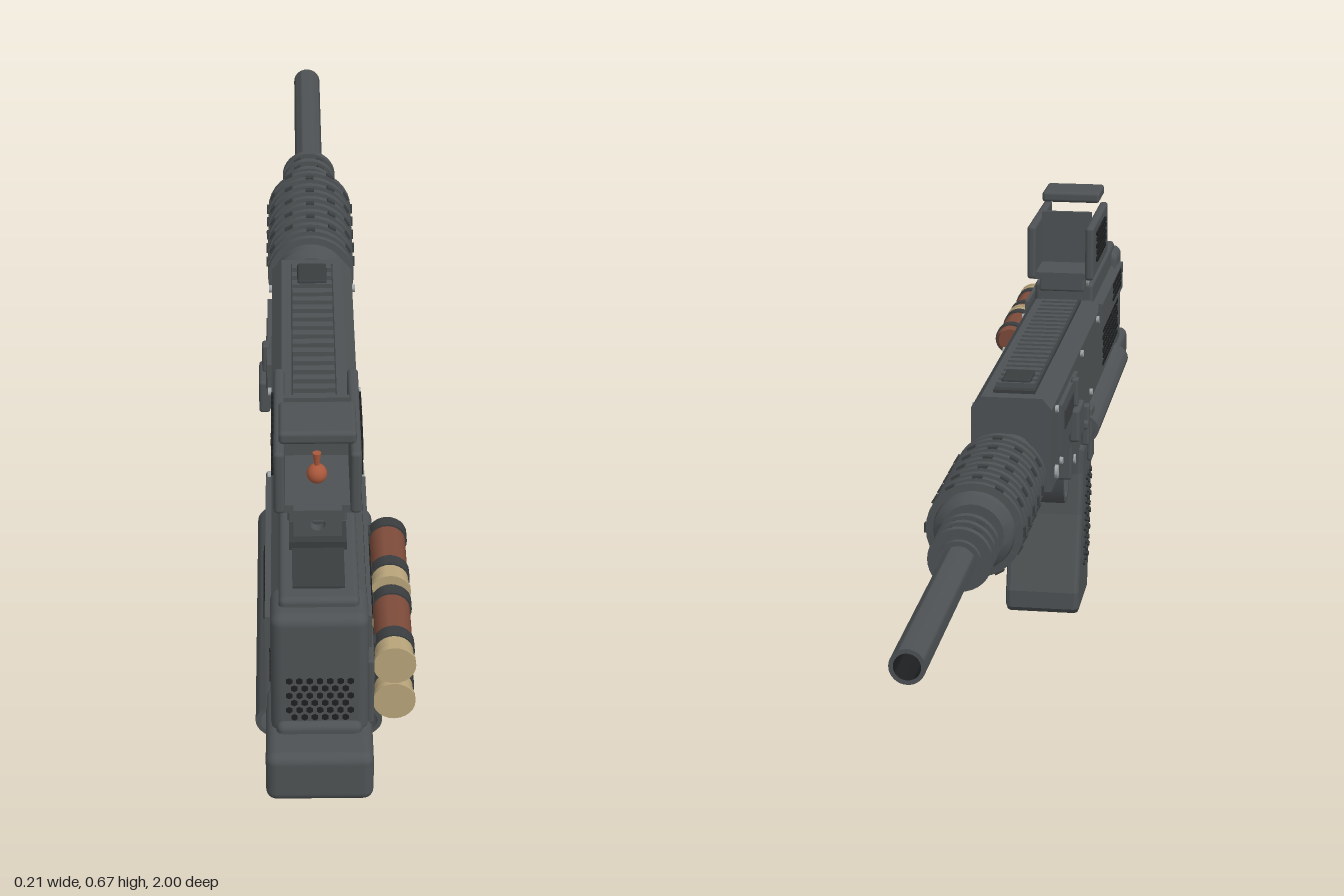
import * as THREE from 'three';
import { mergeGeometries, toCreasedNormals } from 'three/addons/utils/BufferGeometryUtils.js';
import { RoundedBoxGeometry } from 'three/addons/geometries/RoundedBoxGeometry.js';

const CX = -0.022; // centre line of the body
const AXIS_Y = 0.4; // barrel height

export function createModel() {
  const model = new THREE.Group();
  model.name = 'model';
  const mat = (name, color, side = THREE.FrontSide) => {
    const m = new THREE.MeshStandardMaterial({ color, side });
    m.name = name;
    return m;
  };
  const steel = mat('gunmetal', 0x4e5254);
  const dark = mat('dark metal', 0x3a3d3f);
  const black = mat('black', 0x1d1f20, THREE.DoubleSide);
  const silver = mat('silver', 0xa0a4a6);
  const brass = mat('brass', 0xb8a47a);
  const brown = mat('red brown', 0x7d4b3a);
  const orange = mat('orange', 0xa9583c);

  const add = (name, geo, m = steel) => {
    const mesh = new THREE.Mesh(geo, m);
    mesh.name = name;
    model.add(mesh);
    return mesh;
  };
  const boxGeo = (x0, x1, y0, y1, z0, z1, r = 0) => {
    const s = [x1 - x0, y1 - y0, z1 - z0];
    const g = r ? new RoundedBoxGeometry(...s, 3, r) : new THREE.BoxGeometry(...s);
    return g.translate((x0 + x1) / 2, (y0 + y1) / 2, (z0 + z1) / 2);
  };
  const box = (name, x0, x1, y0, y1, z0, z1, m, r) => add(name, boxGeo(x0, x1, y0, y1, z0, z1, r), m);
  const toShape = pts => new THREE.Shape(pts.map(p => new THREE.Vector2(...p)));
  // side profile of (z, y) points, extruded across x
  const sideProfile = (shape, x0, x1, bevel = 0) => new THREE.ExtrudeGeometry(shape, {
    depth: x1 - x0 - 2 * bevel, bevelEnabled: bevel > 0, bevelSize: bevel, bevelOffset: -bevel,
    bevelThickness: bevel, bevelSegments: 2, curveSegments: 20,
  }).rotateY(-Math.PI / 2).translate(x1 - bevel, 0, 0);
  // end profile of (x, y) points, extruded along z
  const endProfile = (shape, z0, z1) => new THREE.ExtrudeGeometry(shape, {
    depth: z1 - z0, bevelEnabled: false, curveSegments: 24,
  }).translate(0, 0, z0);
  // (radius, z) points turned round the z axis
  const turned = (pts, x = CX, y = AXIS_Y, n = 32) => toCreasedNormals(
    new THREE.LatheGeometry(pts.map(p => new THREE.Vector2(...p)), n), 0.6)
    .rotateX(Math.PI / 2).translate(x, y, 0);
  const rod = (r, z0, z1, x, y, n) => turned([[0, z0], [r, z0], [r, z1], [0, z1]], x, y, n);
  // small disc facing sideways
  const sideDisc = (r, x, y, z, t = 0.008, n = 10) =>
    new THREE.CylinderGeometry(r, r, t, n).rotateZ(Math.PI / 2).translate(x, y, z);

  // receiver, with bevelled top edges
  add('receiver', endProfile(toShape([[-0.085, 0.342], [0.042, 0.342], [0.042, 0.475],
    [0.027, 0.493], [-0.07, 0.493], [-0.085, 0.475]]), -0.085, 0.91));
  box('rearPlate', -0.085, 0.042, 0.325, 0.512, 0.86, 0.94, steel, 0.015);
  box('rearTopCover', -0.074, 0.03, 0.48, 0.524, 0.56, 0.915, steel, 0.008);
  box('rearTopInset', -0.056, 0.012, 0.522, 0.527, 0.79, 0.89, dark);
  for (const s of [-1, 1])
    box('rearSidePanel', ...(s < 0 ? [-0.092, -0.084] : [0.041, 0.047]), 0.438, 0.487, 0.56, 0.9, steel);

  // top rail
  box('railBase', -0.055, 0.011, 0.49, 0.498, -0.06, 0.54, dark);
  const teeth = [];
  for (let i = 0; i < 21; i++) {
    const z = -0.045 + i * 0.027;
    teeth.push(boxGeo(-0.053, 0.009, 0.495, 0.506, z, z + 0.014));
  }
  add('railTeeth', mergeGeometries(teeth));
  box('frontSightPad', -0.045, 0.001, 0.495, 0.511, -0.04, 0.02, dark, 0.004);

  // rear perforation pattern and side vents
  const holes = [];
  for (let r = 0; r < 7; r++)
    for (let c = 0; c < 7 - (r % 2); c++)
      holes.push(new THREE.CylinderGeometry(0.0048, 0.0048, 0.004, 6).rotateX(Math.PI / 2)
        .translate(-0.061 + c * 0.0133 + (r % 2) * 0.0066, 0.345 + r * 0.0115, 0.9395));
  const ventGrid = (x, z0, y0, rows, cols) => {
    for (let r = 0; r < rows; r++)
      for (let c = 0; c < cols; c++)
        holes.push(sideDisc(0.0045, x, y0 + r * 0.012, z0 + c * 0.0135 + (r % 2) * 0.0067, 0.004, 6));
  };
  ventGrid(0.047, 0.73, 0.456, 3, 10);
  ventGrid(-0.092, 0.73, 0.456, 3, 10);
  ventGrid(-0.085, 0.63, 0.36, 6, 18);
  add('ventHoles', mergeGeometries(holes), black);

  // lower housing, butt and the open oval sleeve round the stock
  box('lowerHousing', -0.078, 0.034, 0.272, 0.35, 0.3, 0.95, steel, 0.01);
  box('butt', -0.092, 0.048, 0.263, 0.336, 0.84, 1.0, steel, 0.014);
  const oval = new THREE.Shape().absellipse(CX, 0.305, 0.084, 0.04, 0, Math.PI * 2);
  oval.holes.push(new THREE.Path().absellipse(CX, 0.305, 0.078, 0.034, 0, Math.PI * 2));
  add('stockSleeve', toCreasedNormals(endProfile(oval, 0.39, 0.88), 0.5));
  box('triggerHousing', -0.078, 0.034, 0.275, 0.345, 0.19, 0.48, steel, 0.005);
  box('housingNose', -0.083, 0.039, 0.275, 0.345, 0.19, 0.245, steel, 0.004);
  for (const x of [-0.094, 0.037]) {
    box('selectorLever', x, x + 0.013, 0.29, 0.362, 0.342, 0.362, steel, 0.004);
    box('selectorFoot', x, x + 0.013, 0.322, 0.336, 0.33, 0.375, steel, 0.004);
  }

  // grip with textured sides
  add('grip', sideProfile(toShape([[0.48, 0.285], [0.475, 0.235], [0.455, 0.15], [0.425, 0.01], [0.415, 0.002],
    [0.295, 0], [0.284, 0.01], [0.284, 0.04], [0.325, 0.17], [0.337, 0.24], [0.337, 0.285]]), -0.085, 0.042, 0.008));
  const ridges = [];
  for (let r = 0; r < 11; r++)
    for (let c = 0; c < 3; c++) {
      const y = 0.075 + r * 0.0145, z = 0.35 + c * 0.026 + r * 0.0036 + (r % 2) * 0.008;
      for (const x of [-0.0855, 0.0425])
        ridges.push(new THREE.BoxGeometry(0.006, 0.007, 0.018).rotateX(0.5).translate(x, y, z));
    }
  add('gripTexture', mergeGeometries(ridges), dark);

  // trigger guard strip and trigger
  const guard = toShape([[0.345, 0.28], [0.337, 0.235], [0.318, 0.207], [0.295, 0.2], [0.268, 0.21], [0.252, 0.235],
    [0.248, 0.28], [0.256, 0.28], [0.26, 0.24], [0.274, 0.219], [0.295, 0.21], [0.312, 0.216], [0.326, 0.24], [0.333, 0.28]]);
  add('triggerGuard', toCreasedNormals(sideProfile(guard, -0.062, 0.018), 0.7));
  add('trigger', sideProfile(toShape([[0.32, 0.28], [0.312, 0.25], [0.296, 0.228], [0.29, 0.232],
    [0.298, 0.25], [0.3, 0.28]]), -0.034, -0.01), dark);

  // charging handle on the right side
  box('boltCover', -0.092, -0.083, 0.385, 0.462, -0.01, 0.2, steel);
  box('boltSlot', -0.094, -0.09, 0.415, 0.445, 0.02, 0.19, dark);
  box('boltHandle', -0.105, -0.088, 0.365, 0.42, 0.11, 0.18, steel, 0.005);
  box('boltRod', -0.1, -0.088, 0.42, 0.467, 0.13, 0.15, steel, 0.004);
  box('sideRib', -0.093, -0.084, 0.245, 0.34, 0.4, 0.44, steel, 0.004);

  // barrel, open at the muzzle
  add('barrel', turned([[0.018, -0.9], [0.018, -1], [0.024, -1], [0.024, -0.45]].slice(1)));
  add('bore', turned([[0.018, -0.9], [0.018, -1]]), black);
  add('boreEnd', new THREE.CircleGeometry(0.018, 24).rotateY(Math.PI).translate(CX, AXIS_Y, -0.9), black);
  add('barrelRoot', rod(0.034, -0.2, -0.08));
  add('rootCollar', rod(0.045, -0.168, -0.148));
  add('neck', rod(0.031, -0.6, -0.46));
  for (const z of [-0.525, -0.555, -0.585]) add('neckRing', rod(0.046, z - 0.006, z + 0.006));
  const lugs = [];
  for (let i = 0; i < 6; i++)
    lugs.push(new THREE.BoxGeometry(0.012, 0.012, 0.07).translate(0.036, 0, -0.55)
      .rotateZ(i * Math.PI / 3).translate(CX, AXIS_Y, 0));
  add('neckLugs', mergeGeometries(lugs), dark);

  // ribbed handguard
  const ribs = [[0, -0.48], [0.046, -0.48], [0.058, -0.47]];
  for (let i = 0; i < 11; i++) {
    const z = -0.46 + i * 0.0245;
    ribs.push([0.06, z], [0.071, z + 0.001], [0.071, z + 0.011], [0.06, z + 0.012]);
  }
  ribs.push([0.058, -0.19], [0.046, -0.18], [0, -0.18]);
  add('handguard', turned(ribs));
  const slots = [];
  for (let i = 0; i < 10; i++)
    for (let k = 0; k < 6; k++)
      slots.push(new THREE.BoxGeometry(0.004, 0.014, 0.009).translate(0.0715, 0, -0.454 + i * 0.0245)
        .rotateZ((k + (i % 2) * 0.5) * Math.PI / 3).translate(CX, AXIS_Y, 0));
  add('handguardSlots', mergeGeometries(slots), dark);

  // cartridges in a side carrier
  box('cartridgeCarrier', 0.04, 0.05, 0.328, 0.43, 0.56, 0.92, steel, 0.004);
  for (const y of [0.41, 0.353])
    for (const z of [0.745, 0.578]) {
      const x = 0.077;
      add('cartridgeBody', turned([[0, z], [0.02, z], [0.025, z + 0.006], [0.025, z + 0.14], [0, z + 0.14]], x, y, 24), brown);
      add('cartridgeBase', rod(0.0255, z + 0.125, z + 0.15, x, y, 24), brass);
      add('cartridgeRim', rod(0.028, z + 0.15, z + 0.158, x, y, 24), brass);
      add('frontClip', rod(0.0275, z + 0.01, z + 0.03, x, y, 24), dark);
      add('rearClip', rod(0.0275, z + 0.106, z + 0.127, x, y, 24), dark);
      for (const o of [0.01, 0.106]) box('clipFoot', 0.044, 0.06, y - 0.014, y + 0.014, z + o, z + o + 0.02, dark);
    }

  // sight: base, rear leaf, side walls, lens panel and hood
  box('sightBase', -0.062, 0.018, 0.515, 0.548, 0.53, 0.73, steel, 0.004);
  box('sightFloor', -0.075, 0.032, 0.54, 0.552, 0.515, 0.735, steel);
  for (const x of [-0.08, 0.022]) box('sightWall', x, x + 0.015, 0.54, 0.635, 0.51, 0.74, steel, 0.006);
  box('sightPanel', -0.066, 0.023, 0.55, 0.643, 0.6, 0.608, steel);
  box('sightHood', -0.073, 0.03, 0.648, 0.667, 0.655, 0.74, steel, 0.006);
  const grilles = [];
  for (let r = 0; r < 5; r++)
    for (let c = 0; c < 9; c++)
      for (const x of [-0.081, 0.038])
        grilles.push(sideDisc(0.0045, x, 0.57 + r * 0.0115, 0.555 + c * 0.0155 + (r % 2) * 0.006, 0.005, 6));
  add('sightGrille', mergeGeometries(grilles), black);
  add('sightBead', new THREE.SphereGeometry(0.014, 20, 12).translate(CX, 0.574, 0.69), orange);
  add('sightPost', new THREE.CylinderGeometry(0.006, 0.003, 0.02, 12).translate(CX, 0.596, 0.69), orange);
  const leaf = toShape([[-0.054, 0.52], [0.01, 0.52], [0.01, 0.576], [-0.054, 0.576]]);
  leaf.holes.push(new THREE.Path().absarc(CX, 0.555, 0.01, 0, Math.PI * 2));
  add('rearSightLeaf', endProfile(leaf, 0.772, 0.786));
  box('leafFoot', -0.06, 0.016, 0.52, 0.536, 0.75, 0.8, dark);

  // screws on both sides: z, y, radius
  const screws = [];
  for (const [z, y, r] of [[-0.04, 0.362, 0.011], [0.02, 0.362, 0.006], [0.29, 0.468, 0.006], [0.525, 0.468, 0.006],
    [0.43, 0.362, 0.006], [-0.04, 0.465, 0.006]])
    for (const x of [-0.086, 0.043]) screws.push(sideDisc(r, x, y, z, 0.008, 12));
  for (const x of [-0.083, 0.039]) screws.push(sideDisc(0.008, x, 0.303, 0.222, 0.006, 12));
  for (const x of [-0.063, 0.019]) screws.push(sideDisc(0.011, x, 0.53, 0.565, 0.006, 12));
  add('screws', mergeGeometries(screws), silver);

  return model;
}
